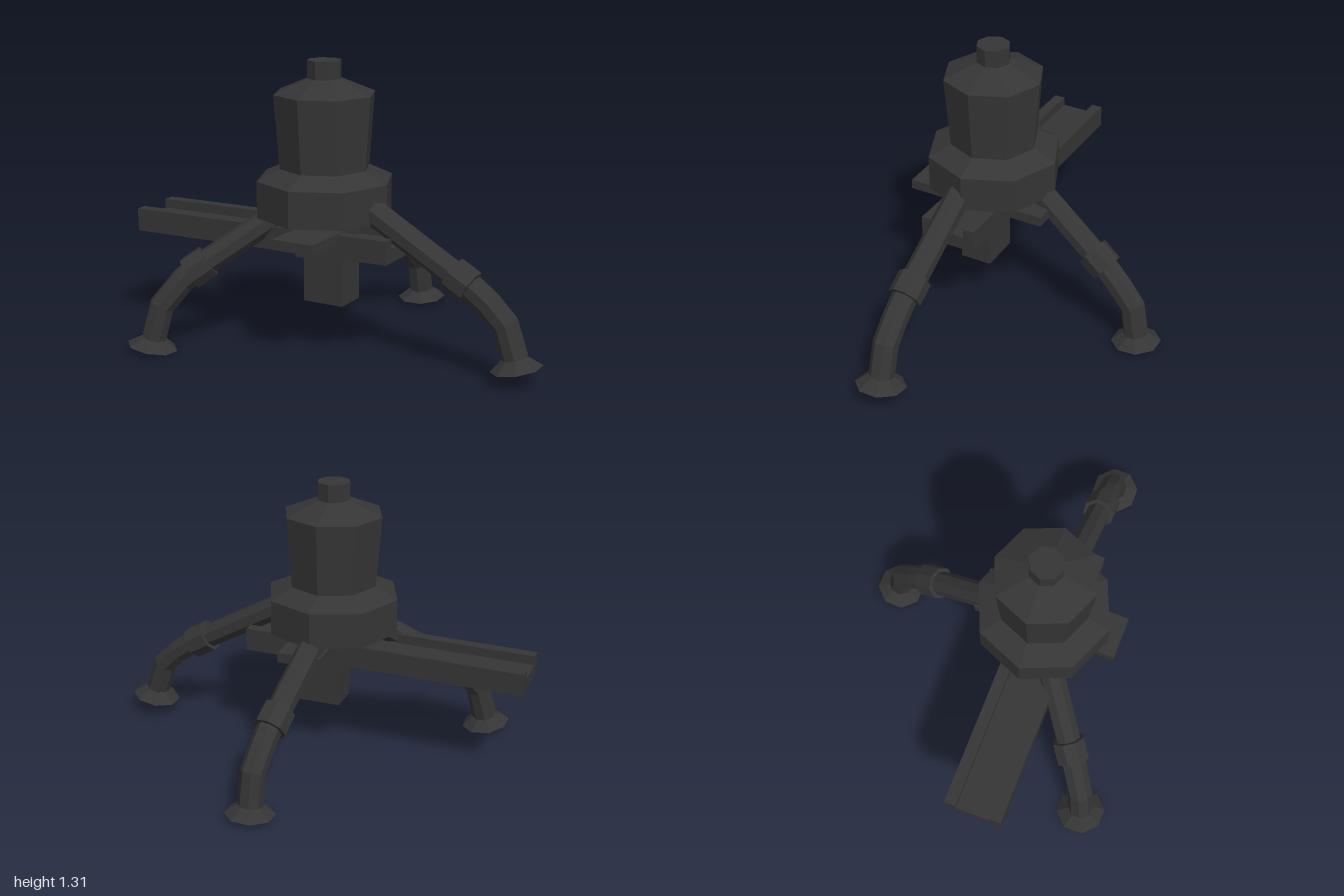
import * as THREE from 'three';

const V = (x, y, z) => new THREE.Vector3(x, y, z);
const metal = new THREE.MeshStandardMaterial({ color: 0x353535, flatShading: true });
metal.name = 'dark gunmetal';

function add(parent, name, geometry) {
  const mesh = new THREE.Mesh(geometry, metal);
  mesh.name = name;
  parent.add(mesh);
  return mesh;
}

// Box given by its minimum and maximum corners
function boxBetween(parent, name, a, b) {
  const mesh = add(parent, name, new THREE.BoxGeometry(b[0] - a[0], b[1] - a[1], b[2] - a[2]));
  mesh.position.set((a[0] + b[0]) / 2, (a[1] + b[1]) / 2, (a[2] + b[2]) / 2);
  return mesh;
}

// Eight-sided cylinder or cone running from one point to another
function rod(parent, name, from, to, rFrom, rTo) {
  const dir = to.clone().sub(from);
  const geo = new THREE.CylinderGeometry(rTo, rFrom, dir.length(), 8);
  geo.rotateY(Math.PI / 8);
  const mesh = add(parent, name, geo);
  mesh.position.copy(from).add(to).multiplyScalar(0.5);
  mesh.quaternion.setFromUnitVectors(V(0, 1, 0), dir.normalize());
  return mesh;
}

// Eight-sided pipe with mitred bends along a path in a vertical plane
function pipe(path, radius) {
  const n = 8, pos = [], index = [];
  const flat = path[path.length - 1].clone().sub(path[0]).setY(0).normalize();
  const side = V(0, 1, 0).cross(flat);
  path.forEach((p, i) => {
    const before = path[Math.max(i - 1, 0)], after = path[Math.min(i + 1, path.length - 1)];
    const d1 = p.clone().sub(before).normalize(), d2 = after.clone().sub(p).normalize();
    const up = d1.add(d2).normalize().cross(side);
    for (let k = 0; k < n; k++) {
      const a = ((k + 0.5) / n) * Math.PI * 2;
      const q = p.clone().addScaledVector(side, Math.cos(a) * radius).addScaledVector(up, Math.sin(a) * radius);
      pos.push(q.x, q.y, q.z);
    }
    if (i === 0) return;
    for (let k = 0; k < n; k++) {
      const a = (i - 1) * n + k, b = (i - 1) * n + (k + 1) % n;
      index.push(a, b, a + n, b, b + n, a + n);
    }
  });
  // end caps
  const last = (path.length - 1) * n;
  for (let k = 1; k < n - 1; k++) index.push(0, k + 1, k, last, last + k, last + k + 1);
  const geo = new THREE.BufferGeometry();
  geo.setAttribute('position', new THREE.Float32BufferAttribute(pos, 3));
  geo.setIndex(index);
  const out = geo.toNonIndexed();
  out.computeVertexNormals();
  return out;
}

// Bent leg with a collar at its second point and a flared foot
function leg(parent, name, points, footBottom) {
  const group = new THREE.Group();
  group.name = name;
  const path = points.map(p => V(...p));
  add(group, 'legPipe', pipe(path, 0.058));
  const d = path[2].clone().sub(path[0]).normalize().multiplyScalar(0.052);
  rod(group, 'legCollar', path[1].clone().sub(d), path[1].clone().add(d), 0.077, 0.077);
  rod(group, 'foot', V(...footBottom), path[path.length - 1], 0.115, 0.056);
  parent.add(group);
}

export function createModel() {
  const model = new THREE.Group();
  model.name = 'tripodTurret';

  // Octagonal housing: wide base, flared drum, sloped roof and cap
  const profile = [[0, 0.615], [0.31, 0.615], [0.31, 0.78], [0.205, 0.83], [0.23, 1.16],
    [0.077, 1.225], [0.077, 1.305], [0, 1.305]].map(p => new THREE.Vector2(...p));
  const housing = add(model, 'housing', new THREE.LatheGeometry(profile, 8));
  housing.position.set(-0.07, 0, 0.17);

  // Channel-shaped rail, slightly tilted
  const channel = new THREE.Shape([[-0.133, -0.053], [0.133, -0.053], [0.133, 0.053], [0.08, 0.053],
    [0.08, 0.01], [-0.08, 0.01], [-0.08, 0.053], [-0.133, 0.053]].map(p => new THREE.Vector2(...p)));
  const railGeo = new THREE.ExtrudeGeometry(channel, { depth: 1.322, bevelEnabled: false });
  railGeo.translate(0, 0, -0.661).rotateY(Math.PI / 2);
  const rail = add(model, 'rail', railGeo);
  rail.position.set(-0.339, 0.512, 0.195);
  rail.rotation.z = 0.0166;

  // Parts mounted on the rail
  boxBetween(model, 'crossBar', [-0.122, 0.53, -0.147], [0.08, 0.576, 0.532]);
  boxBetween(model, 'magazine', [-0.122, 0.228, 0.12], [0.075, 0.54, 0.272]);
  boxBetween(model, 'railClamp', [-0.166, 0.425, 0.12], [-0.132, 0.58, 0.272]);

  // Three legs
  leg(model, 'leftLeg', [[0.13, 0.7, 0.205], [0.623, 0.42, 0.211], [0.68, 0.388, 0.211],
    [0.75, 0.337, 0.211], [0.83, 0.258, 0.211], [0.876, 0.118, 0.211]], [0.885, 0.072, 0.211]);
  leg(model, 'frontRightLeg', [[-0.2, 0.655, 0.225], [-0.54, 0.378, 0.488], [-0.598, 0.32, 0.532],
    [-0.674, 0.206, 0.592], [-0.708, 0.055, 0.614]], [-0.714, 0.014, 0.618]);
  leg(model, 'backLeg', [[-0.073, 0.655, -0.02], [-0.01, 0.38, -0.405], [0, 0.34, -0.46],
    [0.008, 0.29, -0.512], [0.018, 0.205, -0.588], [0.022, 0.06, -0.614]], [0.023, 0.018, -0.617]);

  return model;
}
